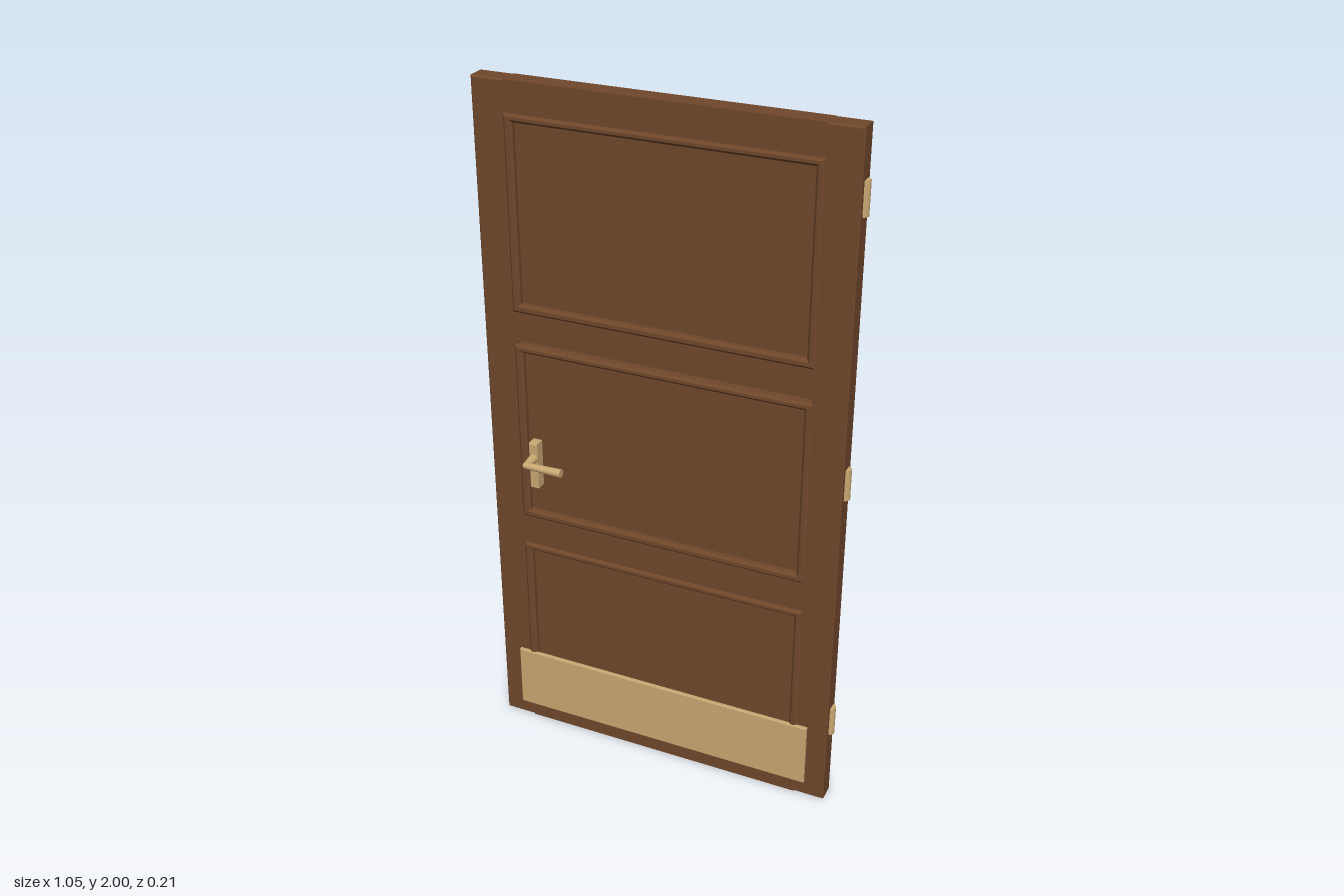
import * as THREE from 'three';

const wood = new THREE.MeshStandardMaterial({ color: 0x70472b });
wood.name = 'wood';
const brass = new THREE.MeshStandardMaterial({ color: 0xc9a873 });
brass.name = 'brass';

const ZC = -0.002; // middle plane of the door leaf

function rect(path, x0, x1, y0, y1) {
  path.moveTo(x0, y0);
  path.lineTo(x1, y0);
  path.lineTo(x1, y1);
  path.lineTo(x0, y1);
  path.closePath();
  return path;
}

function add(parent, name, geometry, material, x = 0, y = 0, z = 0) {
  const mesh = new THREE.Mesh(geometry, material);
  mesh.name = name;
  mesh.position.set(x, y, z);
  parent.add(mesh);
  return mesh;
}

// Box given by its limits
function slab(parent, name, material, x0, x1, y0, y1, z0, z1) {
  return add(parent, name, new THREE.BoxGeometry(x1 - x0, y1 - y0, z1 - z0), material,
    (x0 + x1) / 2, (y0 + y1) / 2, (z0 + z1) / 2);
}

// Flat piece with chamfered edges, optionally with a rectangular opening
function chamfered(parent, name, material, outer, inner, z0, z1, b) {
  const [x0, x1, y0, y1] = outer;
  const shape = rect(new THREE.Shape(), x0 + b, x1 - b, y0 + b, y1 - b);
  if (inner) {
    const [a0, a1, c0, c1] = inner;
    shape.holes.push(rect(new THREE.Path(), a0 - b, a1 + b, c0 - b, c1 + b));
  }
  const geometry = new THREE.ExtrudeGeometry(shape, {
    depth: z1 - z0 - 2 * b, bevelEnabled: true, bevelThickness: b, bevelSize: b, bevelSegments: 1,
  });
  return add(parent, name, geometry, material, 0, 0, z0 + b);
}

// Lever handle for one face; side is +1 for the front, -1 for the back
function leverHandle(side) {
  const g = new THREE.Group();
  g.name = side > 0 ? 'frontHandle' : 'backHandle';
  const x = -0.385, y = 0.937, reach = 0.092 * side;
  const z0 = 0.016 * side, z1 = 0.05 * side;
  chamfered(g, 'handlePlate', brass, [-0.398, -0.372, 0.842, 0.984], null,
    Math.min(z0, z1), Math.max(z0, z1), 0.002);
  const neck = add(g, 'handleNeck', new THREE.CylinderGeometry(0.009, 0.014, 0.045, 20), brass, x, y, 0.0695 * side);
  neck.rotation.x = side * Math.PI / 2;
  add(g, 'handleElbow', new THREE.SphereGeometry(0.0098, 20, 12), brass, x, y, reach);
  const lever = add(g, 'handleLever', new THREE.CylinderGeometry(0.0125, 0.0095, 0.11, 20), brass, x + 0.055, y, reach);
  lever.rotation.z = -Math.PI / 2;
  return g;
}

export function createModel() {
  const door = new THREE.Group();
  door.name = 'door';

  // Frame: two stiles and four rails, with a narrow slot left under the upper middle rail
  const half = 0.029;
  for (const [name, x0, x1] of [['rightStile', -0.529, -0.43], ['leftStile', 0.418, 0.513]]) {
    chamfered(door, name, wood, [x0, x1, 0, 2], null, ZC - half, ZC + half, 0.004);
  }
  for (const [name, y0, y1] of [['bottomRail', 0, 0.11], ['lowerRail', 0.625, 0.74],
    ['upperRail', 1.284, 1.385], ['topRail', 1.9, 2]]) {
    slab(door, name, wood, -0.435, 0.423, y0, y1, ZC - half, ZC + half);
  }

  // Recessed panels, each ringed by a raised moulding on both faces
  for (const [name, y0, y1] of [['lower', 0.096, 0.637], ['middle', 0.729, 1.273], ['upper', 1.369, 1.915]]) {
    slab(door, name + 'Panel', wood, -0.43, 0.418, y0 + 0.012, y1 - 0.012, ZC - 0.018, ZC + 0.018);
    chamfered(door, name + 'Moulding', wood, [-0.438, 0.423, y0, y1],
      [-0.413, 0.4, y0 + 0.025, y1 - 0.022], ZC - 0.037, ZC + 0.037, 0.007);
  }

  // Kick plates and lever handles on both faces
  for (const side of [1, -1]) {
    const a = ZC + 0.028 * side, b = ZC + 0.041 * side;
    chamfered(door, side > 0 ? 'frontKickPlate' : 'backKickPlate', brass, [-0.47, 0.455, 0.05, 0.247], null,
      Math.min(a, b), Math.max(a, b), 0.002);
    door.add(leverHandle(side));
  }

  // Letter plate over the slot, with a wooden backing
  slab(door, 'letterBacking', wood, -0.133, 0.12, 1.265, 1.3, -0.03, -0.016);
  chamfered(door, 'letterPlate', brass, [-0.133, 0.12, 1.266, 1.321], null, -0.044, -0.03, 0.002);

  // Door viewer on the back
  const viewer = add(door, 'viewer', new THREE.CylinderGeometry(0.006, 0.009, 0.03, 20), brass, -0.007, 1.578, -0.032);
  viewer.rotation.x = -Math.PI / 2;

  // Hinge barrels
  for (const y of [0.273, 1.046, 1.823]) {
    add(door, 'hinge', new THREE.CylinderGeometry(0.0135, 0.0135, 0.09, 24), brass, 0.512, y, ZC);
  }

  return door;
}
